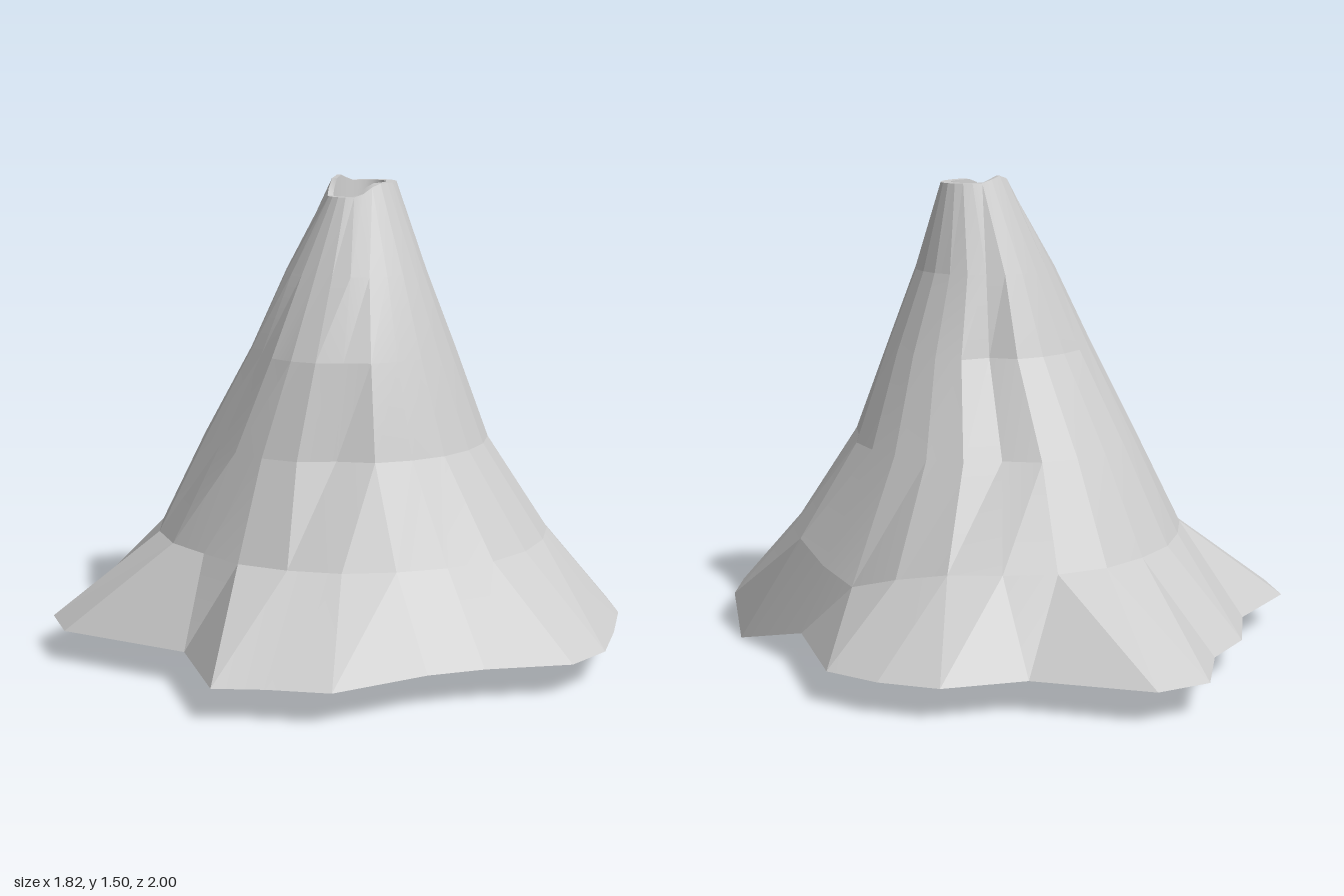
import * as THREE from 'three';
import { toCreasedNormals } from 'three/addons/utils/BufferGeometryUtils.js';

// Ragged foot of the slope, as [x, z], running from the back round by the left side
const FOOT = [
  [0.19, -1], [0.36, -0.95], [0.55, -0.62], [0.78, -0.49], [0.87, -0.32], [0.91, -0.14],
  [0.73, 0.2], [0.7, 0.55], [0.61, 0.7], [0.48, 0.82], [0.28, 0.92], [0.09, 1],
  [-0.08, 0.99], [-0.28, 0.81], [-0.43, 0.71], [-0.73, 0.59], [-0.82, 0.42], [-0.91, 0.29],
  [-0.7, 0], [-0.77, -0.44], [-0.67, -0.59], [-0.38, -0.66], [-0.19, -0.81], [0, -0.86],
];
const N = FOOT.length;
const MEAN = FOOT.reduce((s, [x, z]) => s + Math.hypot(x, z), 0) / N;

// Unevenness of the crater lip, by point number
const LIP = {
  0: 0.01, 13: -0.01, 14: -0.03, 15: -0.04, 16: -0.04, 17: -0.04, 18: -0.04,
  19: -0.04, 20: -0.04, 21: -0.02, 22: 0.01, 23: 0.02,
};

// Oval ring whose ridges echo the foot by the amount "ridge";
// "hollows" pull single points inwards and "lift" moves them up or down
function ring({ y, cx, cz, rx, rz, ridge = 0, hollows = {}, lift = {} }) {
  return FOOT.map(([x, z], i) => {
    const a = THREE.MathUtils.degToRad(-79 + (360 / N) * i);
    const r = 1 + ridge * (Math.hypot(x, z) / MEAN - 1) - (hollows[i] || 0);
    return [cx + rx * r * Math.cos(a), y + (lift[i] || 0), cz + rz * r * Math.sin(a)];
  });
}

// Skin a stack of rings, optionally closing the last one
function loft(rings, crease, close = false) {
  const pos = rings.flat(2);
  const index = [];
  for (let j = 0; j < rings.length - 1; j++) {
    for (let i = 0; i < N; i++) {
      const k = (i + 1) % N;
      const a = j * N + i, b = j * N + k, c = a + N, d = b + N;
      index.push(a, c, b, b, c, d);
    }
  }
  if (close) {
    const last = rings[rings.length - 1];
    const start = (rings.length - 1) * N;
    pos.push(...[0, 1, 2].map((n) => last.reduce((s, p) => s + p[n], 0) / N));
    for (let i = 0; i < N; i++) index.push(start + i, rings.length * N, start + ((i + 1) % N));
  }
  const g = new THREE.BufferGeometry();
  g.setAttribute('position', new THREE.Float32BufferAttribute(pos, 3));
  g.setIndex(index);
  return toCreasedNormals(g, crease);
}

export function createModel() {
  const group = new THREE.Group();
  group.name = 'volcano';
  const material = new THREE.MeshStandardMaterial({ color: 0xcccccc, side: THREE.DoubleSide });
  const add = (name, geometry) => {
    const mesh = new THREE.Mesh(geometry, material);
    mesh.name = name;
    group.add(mesh);
  };

  // Foot: flat apart from one point that dips to the ground
  const foot = FOOT.map(([x, z], i) => [x, i === 7 ? 0 : 0.1, z]);
  const rim = ring({ y: 1.475, cx: 0.08, cz: 0.08, rx: 0.133, rz: 0.093, lift: LIP });

  // Mountain side, an open shell with a few worn gullies
  add('slope', loft([
    foot,
    ring({ y: 0.36, cx: 0.065, cz: 0.05, rx: 0.62, rz: 0.64, ridge: 0.12, lift: { 4: -0.03, 5: -0.08, 6: -0.05 } }),
    ring({ y: 0.66, cx: 0.045, cz: 0.04, rx: 0.46, rz: 0.46, ridge: 0.06, hollows: { 2: 0.08, 8: 0.05, 15: 0.07, 19: 0.04 } }),
    ring({ y: 0.95, cx: 0.035, cz: 0.08, rx: 0.345, rz: 0.32, ridge: 0.03, hollows: { 2: 0.13, 8: 0.09, 15: 0.04, 19: 0.04 } }),
    ring({ y: 1.2, cx: 0.05, cz: 0.08, rx: 0.23, rz: 0.22, ridge: 0.02, hollows: { 2: 0.06, 8: 0.06 } }),
    rim,
  ], 0.12));

  // Crater: narrow lip, inner wall and floor
  add('crater', loft([
    rim,
    ring({ y: 1.475, cx: 0.075, cz: 0.075, rx: 0.105, rz: 0.07, lift: LIP }),
    ring({ y: 1.38, cx: 0.075, cz: 0.075, rx: 0.095, rz: 0.063 }),
  ], 0.5, true));

  return group;
}
